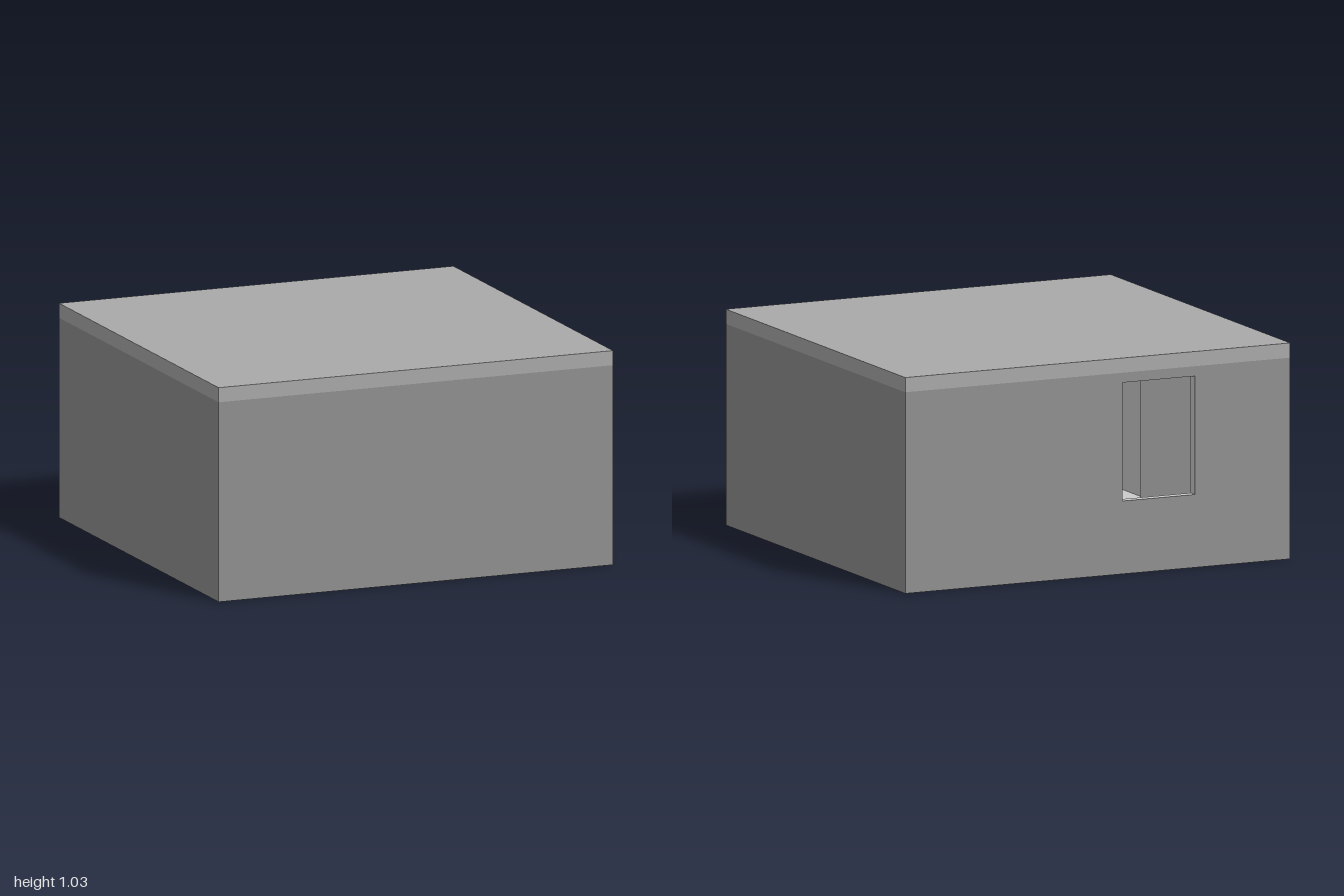
import * as THREE from 'three';

const W = 2, D = 1.92, WALL_H = 0.957, ROOF_H = 0.07, T = 0.045, SKIN = 0.004;
const WINDOW = { x0: -0.505, x1: -0.128, y0: 0.347, y1: 0.91 };

const material = (color) => new THREE.MeshStandardMaterial({ color, flatShading: true });

export function createModel() {
  const model = new THREE.Group();
  const facade = material(0x909090);
  const interior = material(0xcccccc);
  const roofing = material(0xa9a9a9);

  const add = (name, geometry, mat, x, y, z) => {
    const mesh = new THREE.Mesh(geometry, mat);
    mesh.name = name;
    mesh.position.set(x, y, z);
    model.add(mesh);
  };
  // Box given by its minimum and maximum corners
  const box = (name, mat, a, b) => add(name,
    new THREE.BoxGeometry(b[0] - a[0], b[1] - a[1], b[2] - a[2]), mat,
    (a[0] + b[0]) / 2, (a[1] + b[1]) / 2, (a[2] + b[2]) / 2);

  // Wall panel with the window opening cut through it
  const windowPanel = (halfWidth, y0, depth) => {
    const { x0, x1, y0: sill, y1: head } = WINDOW;
    const shape = new THREE.Shape([
      new THREE.Vector2(-halfWidth, y0), new THREE.Vector2(halfWidth, y0),
      new THREE.Vector2(halfWidth, WALL_H), new THREE.Vector2(-halfWidth, WALL_H)]);
    shape.holes.push(new THREE.Path([
      new THREE.Vector2(x0, sill), new THREE.Vector2(x0, head),
      new THREE.Vector2(x1, head), new THREE.Vector2(x1, sill)]));
    return new THREE.ExtrudeGeometry(shape, { depth, bevelEnabled: false });
  };

  const X = W / 2, Z = D / 2;
  const xs = X - SKIN, zs = Z - SKIN; // inner side of the facade skin
  const xi = X - T, zi = Z - T;       // inner side of the walls

  // Dark outer facade
  box('frontFacade', facade, [-X, 0, zs], [X, WALL_H, Z]);
  add('backFacade', windowPanel(X, 0, SKIN), facade, 0, 0, -Z);
  box('leftFacade', facade, [xs, 0, -zs], [X, WALL_H, zs]);
  box('rightFacade', facade, [-X, 0, -zs], [-xs, WALL_H, zs]);
  box('base', facade, [-xs, 0, -zs], [xs, SKIN, zs]);

  // Light inner walls and floor
  box('floor', interior, [-xs, SKIN, -zs], [xs, T, zs]);
  box('frontWall', interior, [-xs, T, zi], [xs, WALL_H, zs]);
  add('backWall', windowPanel(xs, T, T - SKIN), interior, 0, 0, -zs);
  box('leftWall', interior, [xi, T, -zi], [xs, WALL_H, zi]);
  box('rightWall', interior, [-xs, T, -zi], [-xi, WALL_H, zi]);

  // Thicker stretch of wall inside the room
  box('wallPier', interior, [-xi, T, -0.325], [-0.846, WALL_H, 0.325]);

  // Flat roof slab
  box('roof', roofing, [-X, WALL_H, -Z], [X, WALL_H + ROOF_H, Z]);

  return model;
}
